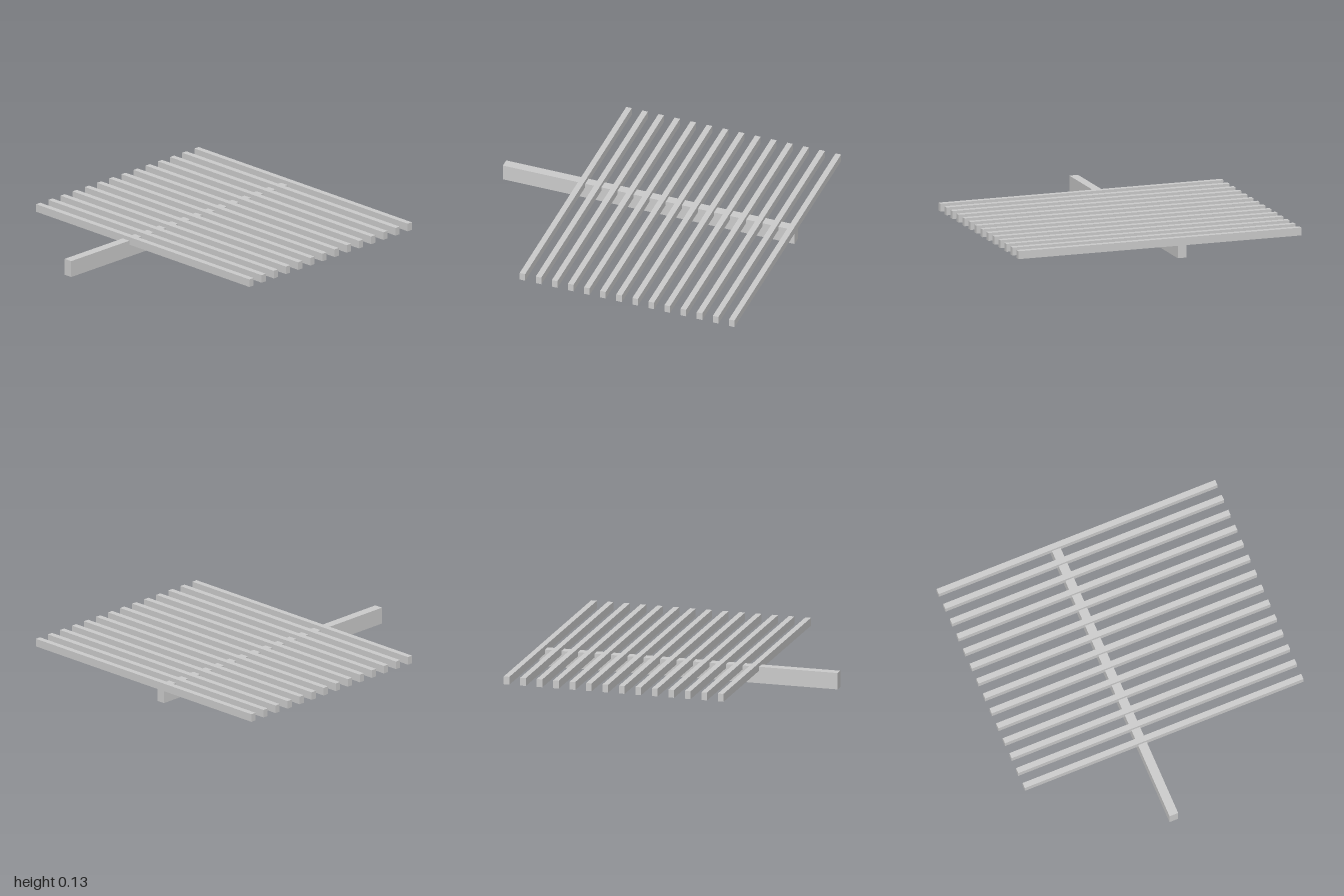
import * as THREE from 'three';

export function createModel() {
  const group = new THREE.Group();
  const material = new THREE.MeshStandardMaterial({ color: 0xcccccc, flatShading: true });

  const addBox = (name, size, position) => {
    const mesh = new THREE.Mesh(new THREE.BoxGeometry(...size), material);
    mesh.name = name;
    mesh.position.set(...position);
    group.add(mesh);
  };

  // Long supporting beam, set off-centre and reaching out past the front slat
  addBox('beam', [0.06, 0.109, 2], [-0.152, 0.0545, 0]);

  // Evenly spaced slats, let into the top of the beam
  const count = 14, depth = 0.038, firstZ = -1 + depth / 2, spacing = 0.1104;
  for (let i = 0; i < count; i++) {
    addBox(`slat${i + 1}`, [1.937, 0.052, depth], [0, 0.108, firstZ + i * spacing]);
  }

  return group;
}
